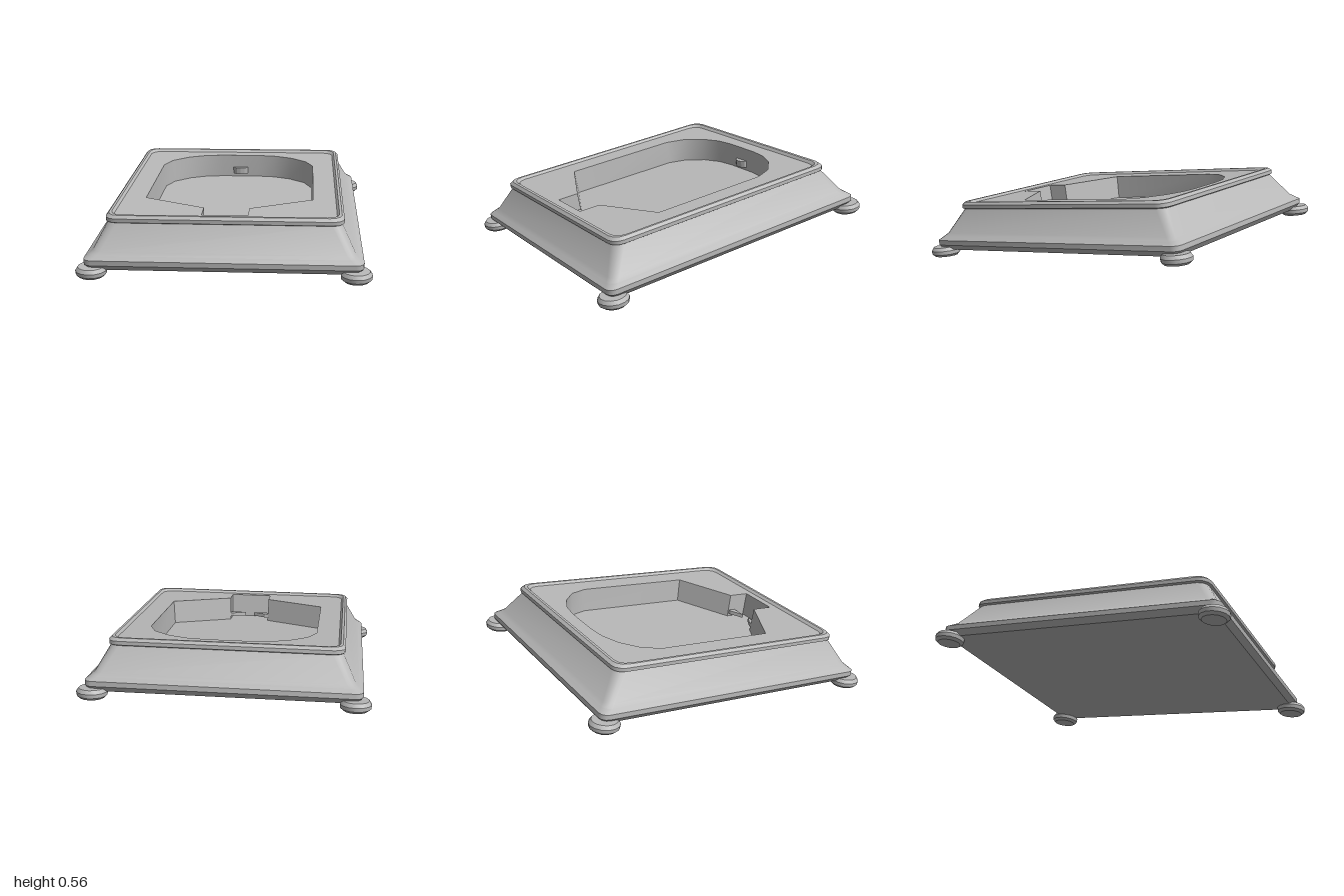
import * as THREE from 'three';
import { toCreasedNormals } from 'three/addons/utils/BufferGeometryUtils.js';

const grey = new THREE.MeshStandardMaterial({ color: 0xb8b8b8 });
grey.name = 'plain grey';

// rounded rectangle, counter-clockwise in (x, -z)
function roundedRect(hx, hz, r, seg = 3) {
  const pts = [];
  [[1, 1], [-1, 1], [-1, -1], [1, -1]].forEach(([sx, sz], k) => {
    for (let i = 0; i <= seg; i++) {
      const a = (k + i / seg) * Math.PI / 2;
      pts.push(new THREE.Vector2(sx * (hx - r) + r * Math.cos(a), sz * (hz - r) + r * Math.sin(a)));
    }
  });
  return pts;
}

// skin joining outlines at successive heights
function loft(loops) {
  const pos = [];
  for (let j = 0; j < loops.length - 1; j++) {
    const lo = loops[j], hi = loops[j + 1], n = lo.pts.length;
    const v = (l, i) => [l.pts[i % n].x, l.h, -l.pts[i % n].y];
    for (let i = 0; i < n; i++) {
      pos.push(...v(lo, i), ...v(lo, i + 1), ...v(hi, i + 1));
      pos.push(...v(lo, i), ...v(hi, i + 1), ...v(hi, i));
    }
  }
  const g = new THREE.BufferGeometry();
  g.setAttribute('position', new THREE.Float32BufferAttribute(pos, 3));
  g.computeVertexNormals();
  return toCreasedNormals(g, 0.6);
}

// horizontal sheet facing up at height h
function sheet(pts, h, hole) {
  const shape = new THREE.Shape(pts);
  if (hole) shape.holes.push(new THREE.Path(hole));
  return new THREE.ShapeGeometry(shape).rotateX(-Math.PI / 2).translate(0, h, 0);
}

// upright solid from an (x, -z) outline
function block(pts, h0, h1) {
  const g = new THREE.ExtrudeGeometry(new THREE.Shape(pts), { depth: h1 - h0, bevelEnabled: false });
  return g.rotateX(-Math.PI / 2).translate(0, h0, 0);
}

export function createModel() {
  const model = new THREE.Group();
  model.name = 'slopedTray';
  const body = new THREE.Group();
  body.name = 'tiltedBody';
  body.rotation.x = 0.1228;
  body.position.y = 0.16;
  model.add(body);
  const add = (name, geo) => {
    const m = new THREE.Mesh(geo, grey);
    m.name = name;
    body.add(m);
    return m;
  };

  // outer skin: height, half width, half depth, corner radius
  const ring = ([h, hx, hz, r]) => ({ h, pts: roundedRect(hx, hz, r) });
  add('baseSkirt', loft([
    [0, 0.80, 0.92, 0.04], [0.035, 0.83, 0.95, 0.05], [0.066, 0.83, 0.95, 0.05],
    [0.088, 0.802, 0.922, 0.05],
  ].map(ring)));
  add('slopedWalls', loft([
    [0.088, 0.802, 0.922, 0.05], [0.107, 0.78, 0.9, 0.05], [0.255, 0.702, 0.805, 0.06],
  ].map(ring)));
  add('topRim', loft([
    [0.255, 0.702, 0.805, 0.06], [0.262, 0.715, 0.82, 0.07], [0.285, 0.715, 0.82, 0.07],
    [0.302, 0.70, 0.803, 0.07], [0.302, 0.685, 0.785, 0.07], [0.286, 0.672, 0.768, 0.07],
  ].map(ring)));
  add('underside', new THREE.ShapeGeometry(new THREE.Shape(roundedRect(0.80, 0.92, 0.04))).rotateX(Math.PI / 2));

  // pocket outline, right half mirrored: arched back, tapered front, notch
  const half = [
    [0.14, -0.72], [0.14, -0.58], [0.53, -0.388], [0.53, 0.398], [0.48, 0.519],
    [0.37, 0.615], [0.25, 0.665], [0.13, 0.68],
  ].map(([x, y]) => new THREE.Vector2(x, y));
  const outline = half.concat(half.map(p => new THREE.Vector2(-p.x, p.y)).reverse());
  const floorLine = outline.map(p => new THREE.Vector2(p.x * 0.98, p.y * 0.985));
  add('topPlate', sheet(roundedRect(0.672, 0.768, 0.07), 0.286, outline));
  add('pocketWalls', loft([{ h: 0.286, pts: outline }, { h: 0.13, pts: floorLine }]));
  add('pocketFloor', sheet(floorLine, 0.13));

  // half-round catch on the back wall
  const catchPts = [];
  for (let i = 0; i <= 6; i++) {
    const a = Math.PI * (1 + i / 6);
    catchPts.push(new THREE.Vector2(0.055 * Math.cos(a), 0.676 + 0.035 * Math.sin(a)));
  }
  add('backCatch', block(catchPts, 0.152, 0.198));

  // small wedge clips beside the front notch
  for (const s of [-1, 1]) {
    const pts = [[0.14, -0.58], [0.115, -0.58], [0.03, -0.628], [0.14, -0.628]]
      .map(([x, y]) => new THREE.Vector2(s * x, y));
    add(s > 0 ? 'leftClip' : 'rightClip', block(pts, 0.15, 0.175));
  }

  // rounded disc feet at the corners
  const profile = [[0, -0.042], [0.074, -0.042], [0.092, -0.026], [0.095, -0.002], [0.08, 0.02], [0, 0.022]]
    .map(([x, y]) => new THREE.Vector2(x, y));
  const footGeo = toCreasedNormals(new THREE.LatheGeometry(profile, 14), 0.6);
  for (const sx of [-1, 1]) for (const sz of [-1, 1]) {
    add((sz > 0 ? 'front' : 'back') + (sx > 0 ? 'Left' : 'Right') + 'Foot', footGeo)
      .position.set(sx * 0.785, 0, sz * 0.909);
  }
  return model;
}
